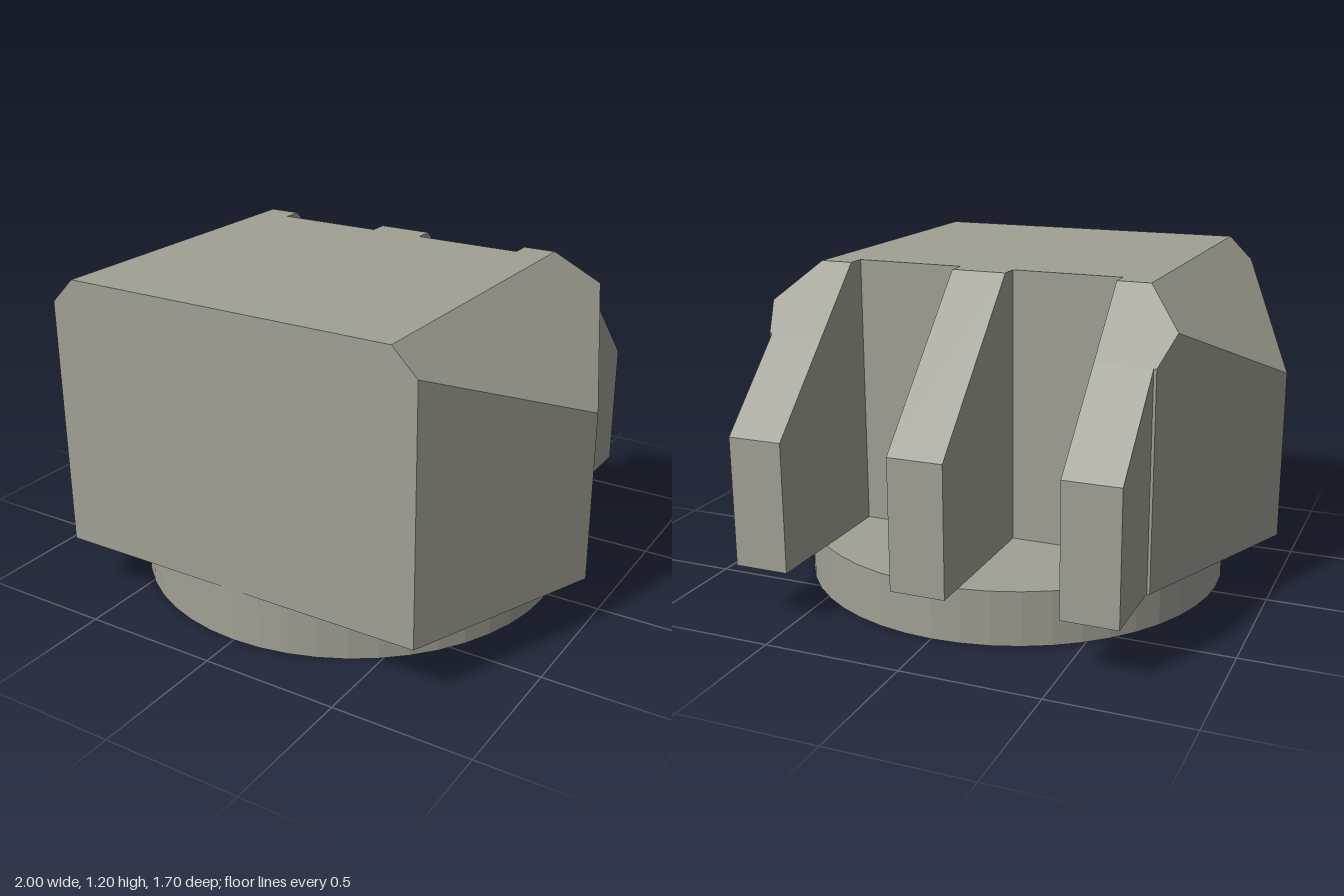
import * as THREE from 'three';
import { ConvexGeometry } from 'three/addons/geometries/ConvexGeometry.js';

const BASE = 0.2, TOP = 1.2;
// half width of the housing at depth z (widest at z = 0.15)
const halfWidth = (z) => 1 - (0.29 / 0.7) * Math.abs(z - 0.15);
// height of the 45 degree side bevel at x, and of the rear slope at z
const bevel = (x) => 1.82 - x;
const slope = (z) => 1.52 + z;

export function createModel() {
  const group = new THREE.Group();
  const material = new THREE.MeshStandardMaterial({ color: 0xa0a094, flatShading: true });

  const add = (name, geometry) => {
    const mesh = new THREE.Mesh(geometry, material);
    mesh.name = name;
    group.add(mesh);
    return mesh;
  };
  const hull = (points) => new ConvexGeometry(points.map((p) => new THREE.Vector3(...p)));

  // round foot
  add('foot', new THREE.CylinderGeometry(0.8, 0.8, BASE, 48)).position.set(0, BASE / 2, 0.05);

  // housing: bevelled block in front of the slots
  const housing = [];
  for (const s of [-1, 1]) {
    for (const z of [0.85, 0.15, -0.25]) {
      const w = halfWidth(z);
      housing.push([s * w, BASE, z], [s * w, bevel(w), z]);
      if (z !== 0.15) housing.push([s * 0.62, TOP, z]);
    }
  }
  add('housing', hull(housing));

  // rear cheeks: the housing continued outside the slots
  const zCorner = -0.451, xCorner = halfWidth(zCorner);
  const wFront = halfWidth(-0.25), wBack = halfWidth(-0.55);
  for (const s of [-1, 1]) {
    const cheek = [
      [0.5, BASE, -0.25], [wFront, BASE, -0.25], [wFront, bevel(wFront), -0.25],
      [0.62, TOP, -0.25], [0.5, TOP, -0.25],
      [0.5, TOP, -0.32], [0.62, TOP, -0.32], [xCorner, slope(zCorner), zCorner],
      [0.5, slope(-0.55), -0.55], [wBack, slope(-0.55), -0.55],
      [0.5, BASE, -0.55], [wBack, BASE, -0.55],
    ];
    add(s > 0 ? 'leftCheek' : 'rightCheek', hull(cheek.map(([x, y, z]) => [s * x, y, z])));
  }

  // sloped rear fins, 0.2 wide, from a side profile of [z, y] points
  const fin = (name, x, profile) => {
    const points = [];
    for (const dx of [-0.1, 0.1]) for (const [z, y] of profile) points.push([x + dx, y, z]);
    add(name, hull(points));
  };
  const tail = [[-0.85, slope(-0.85)], [-0.85, BASE]];
  fin('middleFin', 0, [[-0.25, BASE], [-0.25, TOP], [-0.32, TOP], ...tail]);
  fin('leftFin', 0.6, [[-0.55, BASE], [-0.55, slope(-0.55)], ...tail]);
  fin('rightFin', -0.6, [[-0.55, BASE], [-0.55, slope(-0.55)], ...tail]);

  return group;
}
